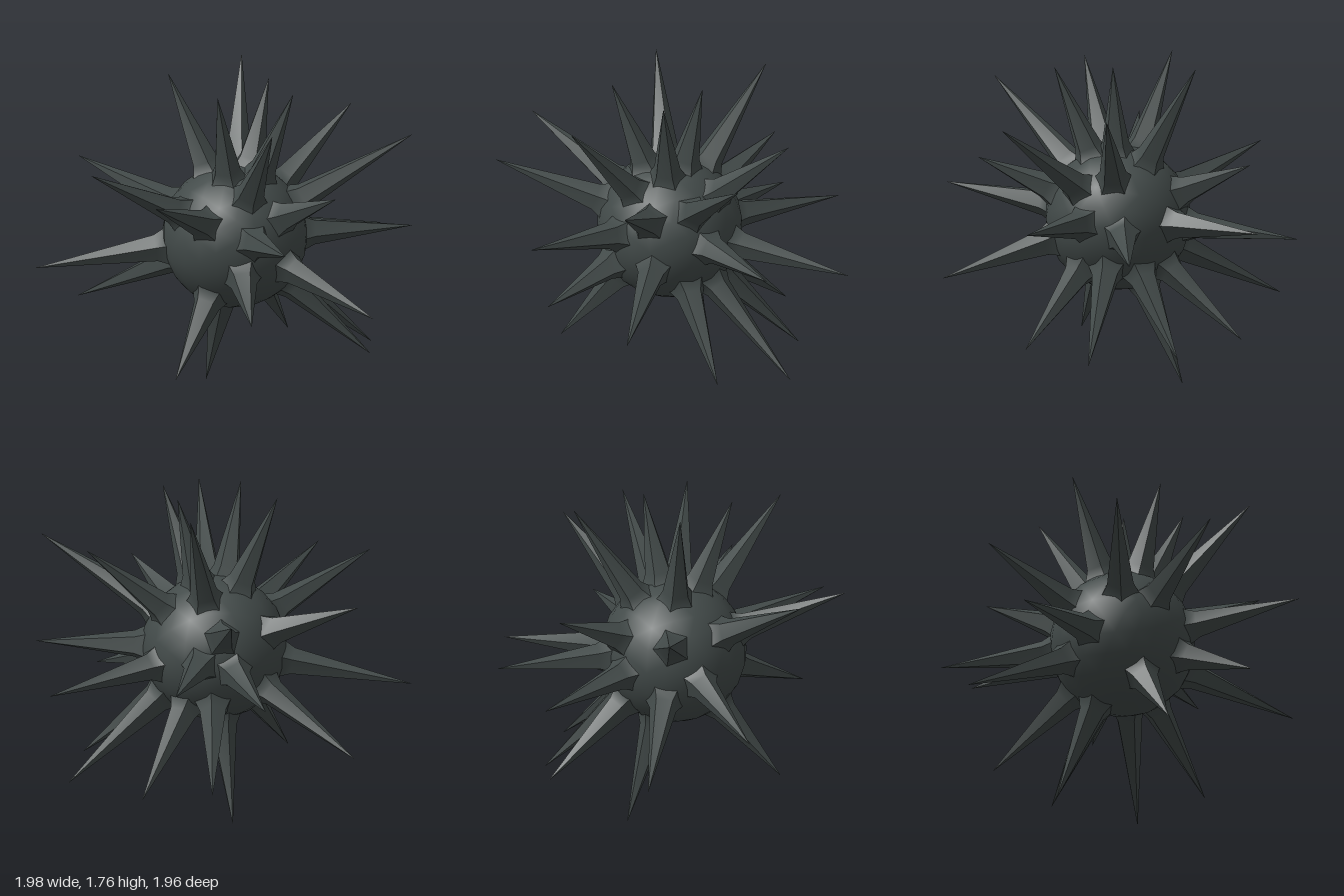
import * as THREE from 'three';
import { toCreasedNormals } from 'three/addons/utils/BufferGeometryUtils.js';

// Spike tip positions (x, y, z)
const TIPS = [
  // upper spikes
  [-0.28, 1.77, -0.2], [-0.14, 1.74, 0.25], [0.03, 1.63, 0.7], [0.23, 1.75, -0.53],
  [0.24, 1.74, -0.06], [0.28, 1.73, 0.26], [0.75, 1.52, -0.22], [0.93, 1.47, 0.31],
  // side spikes
  [0.98, 0.92, 0.15], [0.98, 0.78, -0.44], [-1.0, 0.73, -0.27], [-0.83, 1.35, 0.2],
  // front spikes
  [0.57, 0.6, 0.79], [0.4, 1.24, 0.65], [0.02, 1.04, 0.98], [-0.1, 0.6, 0.75], [-0.61, 1.27, 0.66],
  // back spikes
  [-0.12, 0.81, -0.98], [0.36, 0.9, -0.94], [0.04, 1.22, -0.77], [-0.67, 1.25, -0.56], [-0.64, 0.44, -0.68],
  // lower spikes
  [0.84, 0.21, -0.15], [0.71, 0.26, 0.26], [0.49, 0.21, -0.53], [0.14, 0.29, -0.76],
  [-0.02, 0.01, -0.36], [-0.41, 0.23, 0.37],
];

const CENTRE = new THREE.Vector3(0.035, 0.9, -0.01);
const UP = new THREE.Vector3(0, 1, 0);

// Flared five-sided spike along y, starting just inside the body
function spikeGeometry(length) {
  const profile = [[0.135, 0.34], [0.1, 0.378], [0.075, 0.43], [0.001, length]]
    .map(([r, y]) => new THREE.Vector2(r, y));
  return toCreasedNormals(new THREE.LatheGeometry(profile, 5), THREE.MathUtils.degToRad(50));
}

export function createModel() {
  const model = new THREE.Group();
  model.name = 'spikyBall';
  const shell = new THREE.MeshStandardMaterial({ color: 0x424a49 });
  shell.name = 'dark grey shell';

  // Round core
  const body = new THREE.Mesh(new THREE.IcosahedronGeometry(0.392, 3), shell);
  body.name = 'body';
  body.position.copy(CENTRE);
  model.add(body);

  // Spikes radiating from the centre
  const spikes = new THREE.Group();
  spikes.name = 'spikes';
  TIPS.forEach((tip, i) => {
    const dir = new THREE.Vector3(...tip).sub(CENTRE);
    const spike = new THREE.Mesh(spikeGeometry(dir.length()), shell);
    spike.name = `spike${i + 1}`;
    spike.position.copy(CENTRE);
    spike.quaternion.setFromUnitVectors(UP, dir.normalize());
    spikes.add(spike);
  });
  model.add(spikes);
  return model;
}
